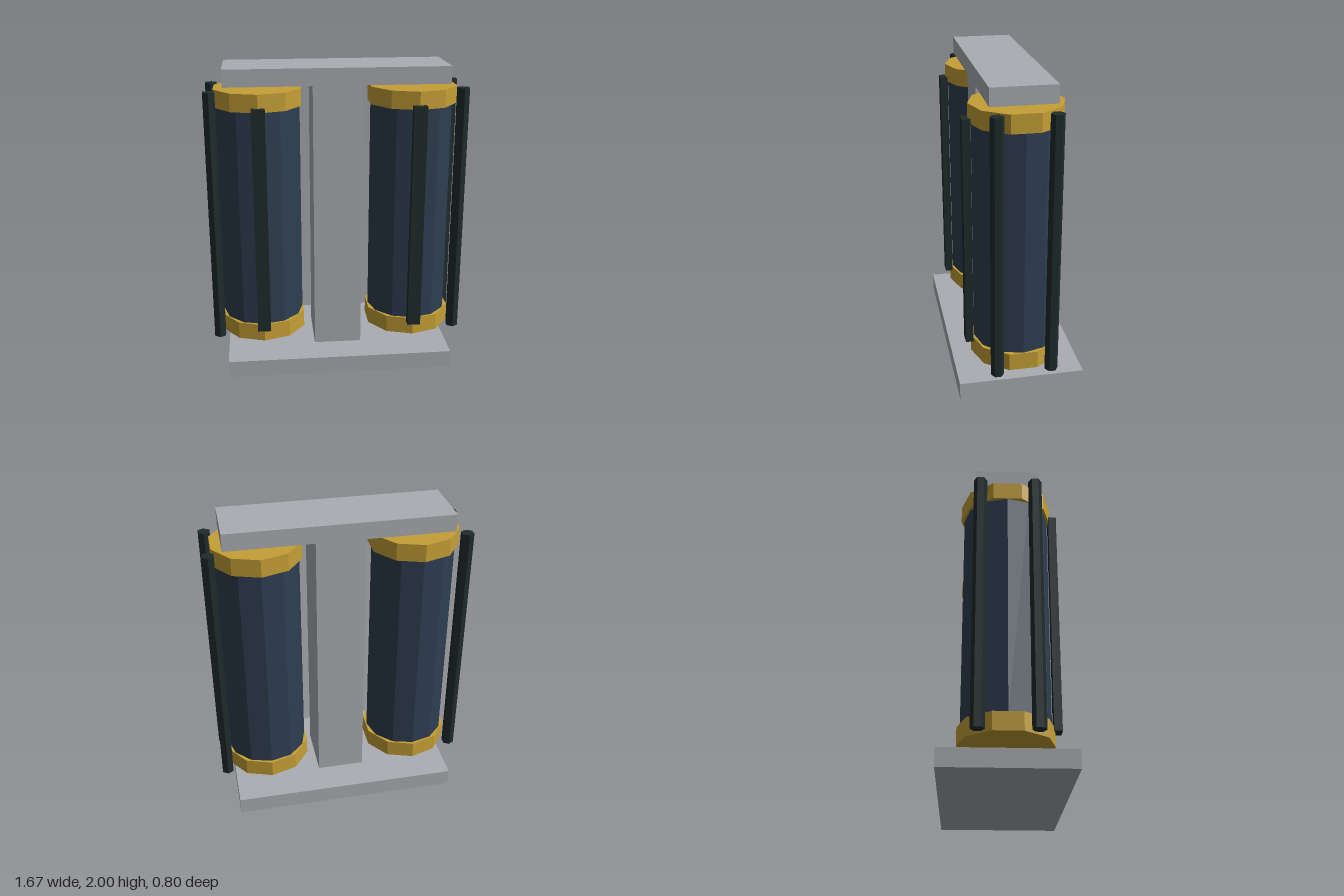
import * as THREE from 'three';

const material = (name, color) => {
  const m = new THREE.MeshStandardMaterial({ color, flatShading: true });
  m.name = name;
  return m;
};

export function createModel() {
  const steel = material('steel grey', 0xaaadb2);
  const gold = material('gold', 0xc6a036);
  const navy = material('navy', 0x2f3e52);
  const dark = material('dark green', 0x1f2b2b);
  const model = new THREE.Group();
  model.name = 'twinCoilUnit';

  const add = (parent, name, geometry, mat, x, y, z) => {
    const mesh = new THREE.Mesh(geometry, mat);
    mesh.name = name;
    mesh.position.set(x, y, z);
    parent.add(mesh);
  };
  const box = (w, h, d) => new THREE.BoxGeometry(w, h, d);
  const prism = (r, h, sides) => new THREE.CylinderGeometry(r, r, h, sides);

  // Frame: base, central core and top yoke
  add(model, 'base', box(1.484, 0.114, 0.8), steel, 0, 0.057, 0);
  add(model, 'core', box(0.314, 1.776, 0.37), steel, 0, 1.002, 0);
  add(model, 'topYoke', box(1.426, 0.11, 0.4), steel, 0, 1.945, 0);

  // One coil on each side, with end rings, a front strip and two outer rods
  for (const [side, s] of [['left', 1], ['right', -1]]) {
    const coil = new THREE.Group();
    coil.name = `${side}Coil`;
    model.add(coil);
    add(coil, 'winding', prism(0.27, 1.45, 12), navy, 0.5 * s, 1.03, 0);
    add(coil, 'lowerRing', prism(0.29, 0.114, 10), gold, 0.5 * s, 0.259, 0);
    add(coil, 'upperRing', prism(0.29, 0.114, 10), gold, 0.5 * s, 1.803, 0);
    add(coil, 'frontStrip', box(0.086, 1.485, 0.05), dark, 0.5 * s, 1.032, 0.303);
    for (const [end, z] of [['front', 0.171], ['back', -0.171]]) {
      add(coil, `${end}Rod`, prism(0.042, 1.658, 6), dark, 0.798 * s, 1.031, z);
    }
  }
  return model;
}
